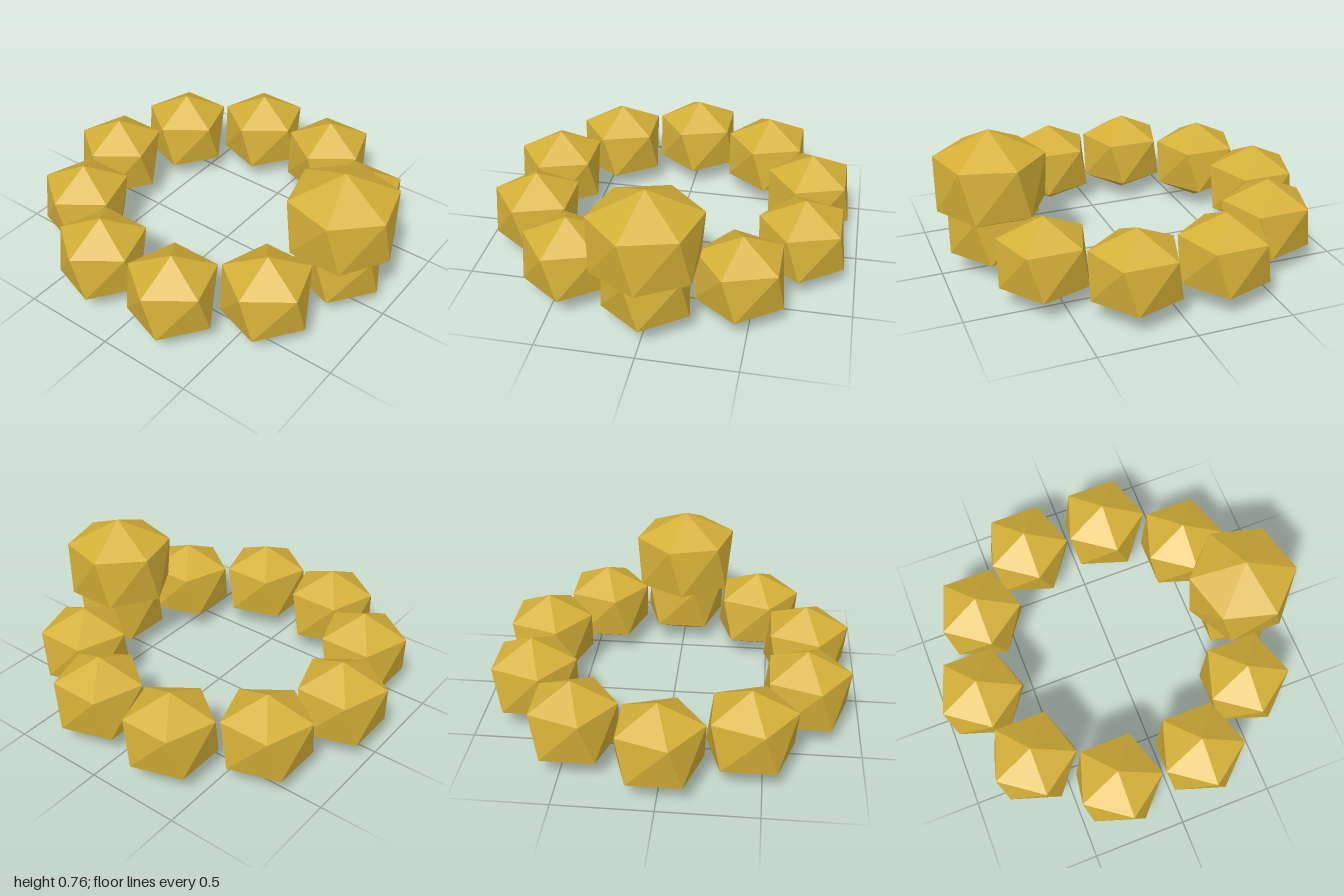
import * as THREE from 'three';

// Faceted bead: two rings of n points, the upper one twisted a quarter step, closed by apexes
function beadGeometry(n, radius, [bottomY, lowY, highY, topY]) {
  const step = (2 * Math.PI) / n;
  const point = (k, y) => [radius * Math.cos(k * step), y, -radius * Math.sin(k * step)];
  const positions = [0, topY, 0, 0, bottomY, 0];
  for (let i = 0; i < n; i++) positions.push(...point(i - 0.25, highY), ...point(i, lowY));
  const index = [];
  for (let i = 0; i < n; i++) {
    const u = 2 + 2 * i, l = u + 1;
    const u2 = 2 + 2 * ((i + 1) % n), l2 = u2 + 1;
    index.push(0, u, u2, u, l, u2, l, l2, u2, 1, l2, l);
  }
  const indexed = new THREE.BufferGeometry();
  indexed.setAttribute('position', new THREE.Float32BufferAttribute(positions, 3));
  indexed.setIndex(index);
  const geometry = indexed.toNonIndexed();
  geometry.computeVertexNormals();
  return geometry;
}

export function createModel() {
  const group = new THREE.Group();
  group.name = 'beadRing';
  const gold = new THREE.MeshStandardMaterial({ color: 0xd4af37, flatShading: true });
  gold.name = 'gold';

  const ringRadius = 0.747, centreX = -0.031, centreZ = -0.006;

  // Ten five-sided beads around the band
  const small = beadGeometry(5, 0.232, [0, 0.117, 0.349, 0.465]);
  for (let i = 0; i < 10; i++) {
    const a = (i * Math.PI) / 5;
    const bead = new THREE.Mesh(small, gold);
    bead.name = 'bandBead' + (i + 1);
    bead.position.set(centreX + ringRadius * Math.cos(a), 0, centreZ + ringRadius * Math.sin(a));
    group.add(bead);
  }

  // Larger six-sided bead resting on one side of the band
  const large = new THREE.Mesh(beadGeometry(6, 0.284, [0.226, 0.361, 0.63, 0.765]), gold);
  large.name = 'topBead';
  large.position.set(centreX + ringRadius, 0, 0);
  group.add(large);

  return group;
}
